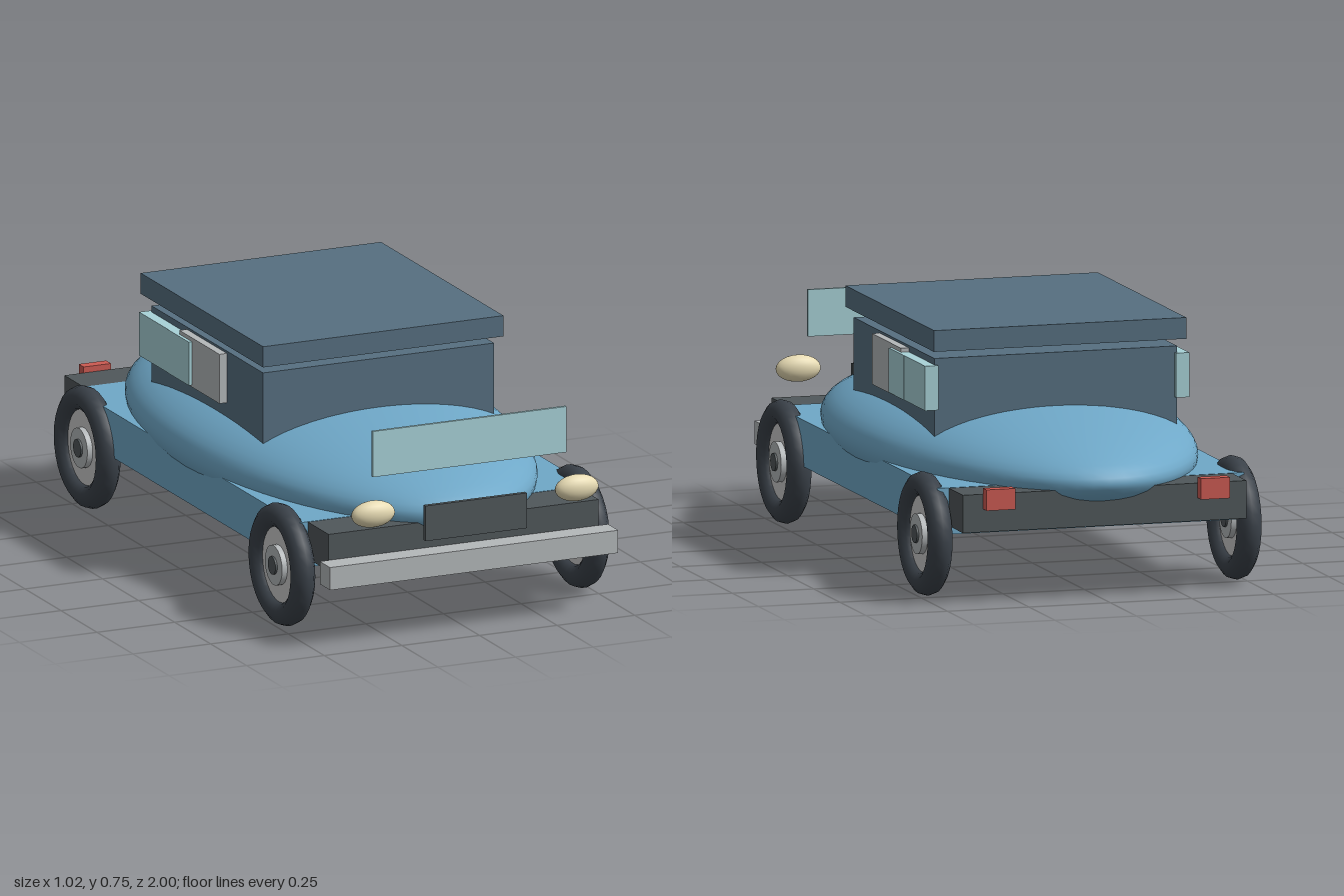
import * as THREE from 'three';

const mat = (color) => new THREE.MeshStandardMaterial({ color });

export function createModel() {
  const car = new THREE.Group();
  car.name = 'car';

  const blue = mat(0x6fa8c8), slate = mat(0x566f80), dark = mat(0x50575a);
  const rubber = mat(0x3b424a), chrome = mat(0xb4b8ba), white = mat(0xf6f6f6);
  const glass = mat(0xa8d2d8), cream = mat(0xe8dcb4), red = mat(0xcc5a52);

  const add = (name, geometry, material, x, y, z, parent = car) => {
    const mesh = new THREE.Mesh(geometry, material);
    mesh.name = name;
    mesh.position.set(x, y, z);
    parent.add(mesh);
    return mesh;
  };
  // Box given by its limits on each axis
  const box = (name, material, [x0, x1], [y0, y1], [z0, z1]) =>
    add(name, new THREE.BoxGeometry(x1 - x0, y1 - y0, z1 - z0), material,
      (x0 + x1) / 2, (y0 + y1) / 2, (z0 + z1) / 2);
  const ellipsoid = (name, material, x, y, z, rx, ry, rz, segments) =>
    add(name, new THREE.SphereGeometry(1, segments, segments / 2).scale(rx, ry, rz), material, x, y, z);
  // Disc whose axis runs along x
  const disc = (name, material, radius, width, x, parent) =>
    add(name, new THREE.CylinderGeometry(radius, radius, width, 24).rotateZ(Math.PI / 2), material, x, 0, 0, parent);

  // Body shell and lower chassis
  ellipsoid('bodyShell', blue, 0, 0.35, -0.03, 0.49, 0.171, 0.97, 64);
  box('chassis', blue, [-0.47, 0.47], [0.195, 0.333], [-0.81, 0.747]);
  box('frontApron', dark, [-0.435, 0.435], [0.22, 0.332], [0.747, 0.89]);
  box('rearApron', dark, [-0.435, 0.435], [0.22, 0.332], [-0.945, -0.81]);

  // Cabin and floating roof
  box('cabin', slate, [-0.372, 0.372], [0.4, 0.66], [-0.475, 0.3]);
  box('roof', slate, [-0.387, 0.387], [0.687, 0.75], [-0.518, 0.332]);

  // Front fittings
  box('windshield', glass, [-0.312, 0.312], [0.502, 0.641], [0.922, 0.932]);
  box('grille', dark, [-0.163, 0.163], [0.301, 0.408], [0.963, 0.977]);
  box('bumper', chrome, [-0.464, 0.464], [0.185, 0.254], [0.892, 0.963]);

  for (const side of [-1, 1]) {
    const span = (a, b) => (side > 0 ? [a, b] : [-b, -a]);

    // Lamps
    ellipsoid('headlight', cream, side * 0.328, 0.402, 0.968, 0.069, 0.04, 0.032, 24);
    box('tailLight', red, span(0.285, 0.373), [0.288, 0.35], [-0.978, -0.944]);

    // Door panel and side windows
    box('doorPanel', chrome, span(0.365, 0.396), [0.503, 0.653], [-0.23, 0.048]);
    box('frontSideWindow', glass, span(0.365, 0.406), [0.509, 0.641], [-0.287, -0.143]);
    box('rearSideWindow', glass, span(0.365, 0.405), [0.509, 0.641], [-0.49, -0.287]);

    // Wheels: tyre, white wall, hub and cap
    for (const z of [0.65, -0.702]) {
      const wheel = new THREE.Group();
      wheel.name = z > 0 ? 'frontWheel' : 'rearWheel';
      wheel.position.set(side * 0.474, 0.183, z);
      const tyre = new THREE.TorusGeometry(0.146, 0.0365, 10, 32).rotateY(Math.PI / 2);
      add('tyre', tyre, rubber, 0, 0, 0, wheel);
      disc('whiteWall', white, 0.115, 0.02, 0, wheel);
      disc('hub', chrome, 0.06, 0.054, 0, wheel);
      disc('hubCap', dark, 0.027, 0.066, 0, wheel);
      car.add(wheel);
    }
  }
  return car;
}
